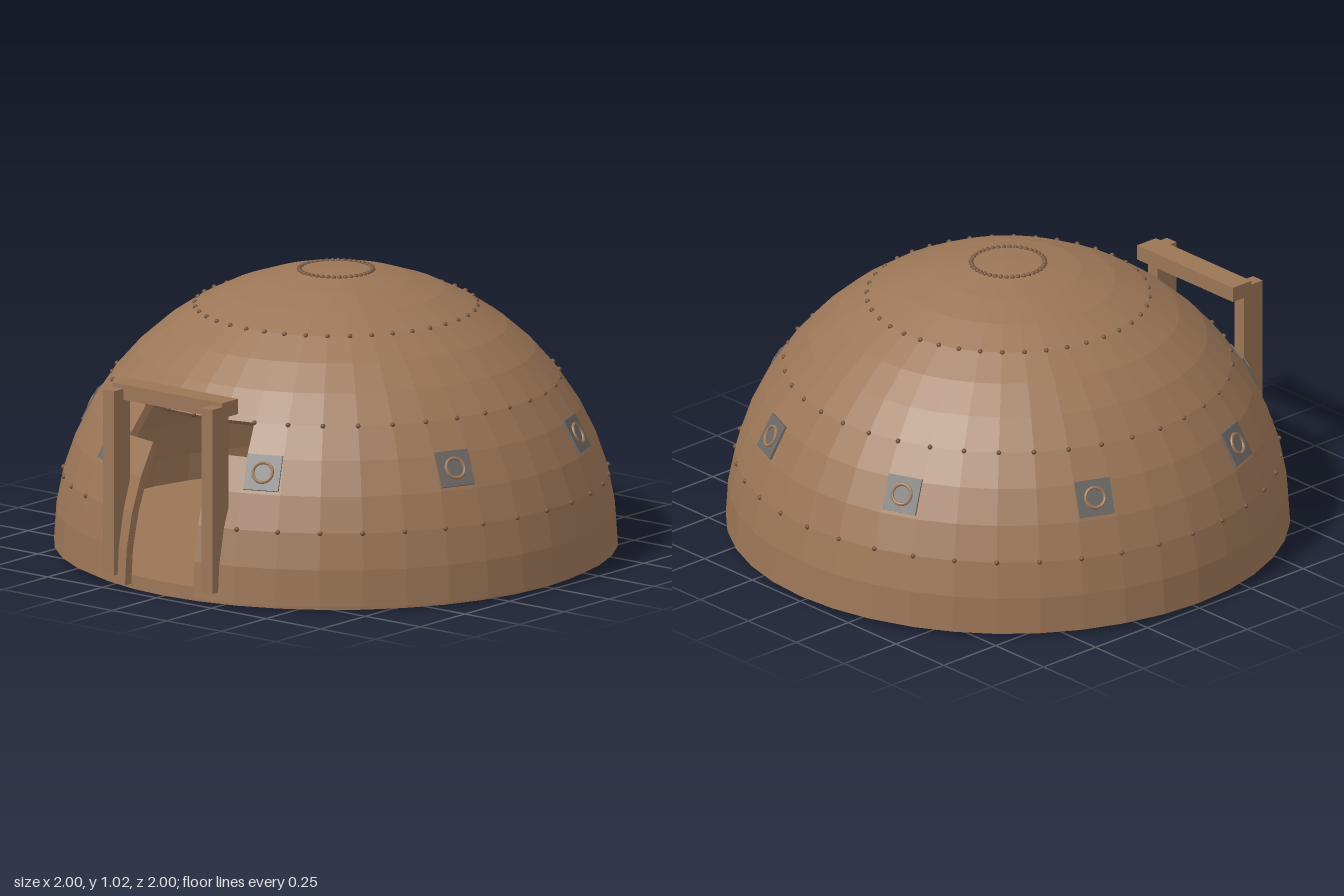
import * as THREE from 'three';

const clay = new THREE.MeshStandardMaterial({ color: 0x9c7657, flatShading: true });
clay.name = 'clayBrown';
const rivetBrown = new THREE.MeshStandardMaterial({ color: 0x74543c });
rivetBrown.name = 'rivetBrown';
const steel = new THREE.MeshStandardMaterial({ color: 0x6b6865 });
steel.name = 'plateGrey';

const COLS = 40, ROWS = 12, BASE_Y = 0.02, INNER = 0.97;
const rad = THREE.MathUtils.degToRad;

// point on the dome at a latitude and an azimuth (0 = front), in degrees
function onDome(lat, az, r = 1) {
  const a = rad(lat), b = rad(az);
  return new THREE.Vector3(r * Math.cos(a) * Math.sin(b), r * Math.sin(a) + BASE_Y, r * Math.cos(a) * Math.cos(b));
}

function add(parent, name, geometry, material, x = 0, y = 0, z = 0) {
  const mesh = new THREE.Mesh(geometry, material);
  mesh.name = name;
  mesh.position.set(x, y, z);
  parent.add(mesh);
  return mesh;
}

// the doorway is narrow for the lower four rows and wider in the fifth
function isSolid(row, col) {
  if (row < 0) return false;
  if (row >= ROWS) return true;
  const c = ((col + COLS / 2 + COLS) % COLS) - COLS / 2;
  if (row < 4) return c < -1 || c > 0;
  if (row === 4) return c < -2 || c > 1;
  return true;
}

// thick faceted shell with rims around every open edge
function domeGeometry() {
  const pos = [];
  const quad = (a, b, c, d) => [a, b, c, a, c, d].forEach(p => pos.push(p.x, p.y, p.z));
  const dLat = 90 / ROWS, dAz = 360 / COLS;
  for (let row = 0; row < ROWS; row++) {
    for (let col = 0; col < COLS; col++) {
      if (!isSolid(row, col)) continue;
      const ring = r => [[0, 0], [0, 1], [1, 1], [1, 0]].map(([u, v]) => onDome((row + u) * dLat, (col + v) * dAz, r));
      const o = ring(1), n = ring(INNER);
      quad(o[0], o[1], o[2], o[3]);
      quad(n[3], n[2], n[1], n[0]);
      const neighbours = [[row - 1, col], [row, col + 1], [row + 1, col], [row, col - 1]];
      neighbours.forEach(([r, c], e) => {
        const f = (e + 1) % 4;
        if (!isSolid(r, c)) quad(o[f], o[e], n[e], n[f]);
      });
    }
  }
  const g = new THREE.BufferGeometry();
  g.setAttribute('position', new THREE.Float32BufferAttribute(pos, 3));
  g.computeVertexNormals();
  return g;
}

export function createModel() {
  const model = new THREE.Group();
  model.name = 'domeHouse';

  add(model, 'domeShell', domeGeometry(), clay);
  add(model, 'floorSlab', new THREE.CylinderGeometry(0.96, 0.96, 0.05, COLS), clay, 0, 0.025, 0);

  // four rings of rivets
  const rivets = new THREE.Group();
  rivets.name = 'rivets';
  model.add(rivets);
  const rivetGeo = new THREE.SphereGeometry(0.009, 8, 6);
  for (const lat of [15, 37.5, 60, 82.5]) {
    for (let i = 0; i < COLS; i++) {
      if (lat === 15 && (i <= 1 || i === COLS - 1)) continue; // doorway
      const p = onDome(lat, i * 360 / COLS);
      add(rivets, 'rivet', rivetGeo, rivetBrown, p.x, p.y, p.z);
    }
  }

  // eight square plates with round porthole rims
  const plateGeo = new THREE.BoxGeometry(0.13, 0.13, 0.009);
  const rimGeo = new THREE.TorusGeometry(0.036, 0.006, 8, 24);
  for (let i = 0; i < 8; i++) {
    const az = 22.5 + i * 45;
    const porthole = new THREE.Group();
    porthole.name = 'porthole';
    porthole.position.copy(onDome(27, az, 0.999));
    porthole.rotation.set(-rad(27), rad(az), 0, 'YXZ');
    add(porthole, 'portholePlate', plateGeo, steel);
    add(porthole, 'portholeRim', rimGeo, clay, 0, 0, 0.006);
    model.add(porthole);
  }

  // free-standing door frame
  const frame = new THREE.Group();
  frame.name = 'doorFrame';
  model.add(frame);
  for (const side of [-1, 1]) {
    add(frame, 'doorPost', new THREE.BoxGeometry(0.05, 0.67, 0.09), clay, side * 0.225, 0.385, 0.95);
  }
  add(frame, 'doorLintel', new THREE.BoxGeometry(0.5, 0.055, 0.09), clay, 0, 0.707, 0.897);

  return model;
}
